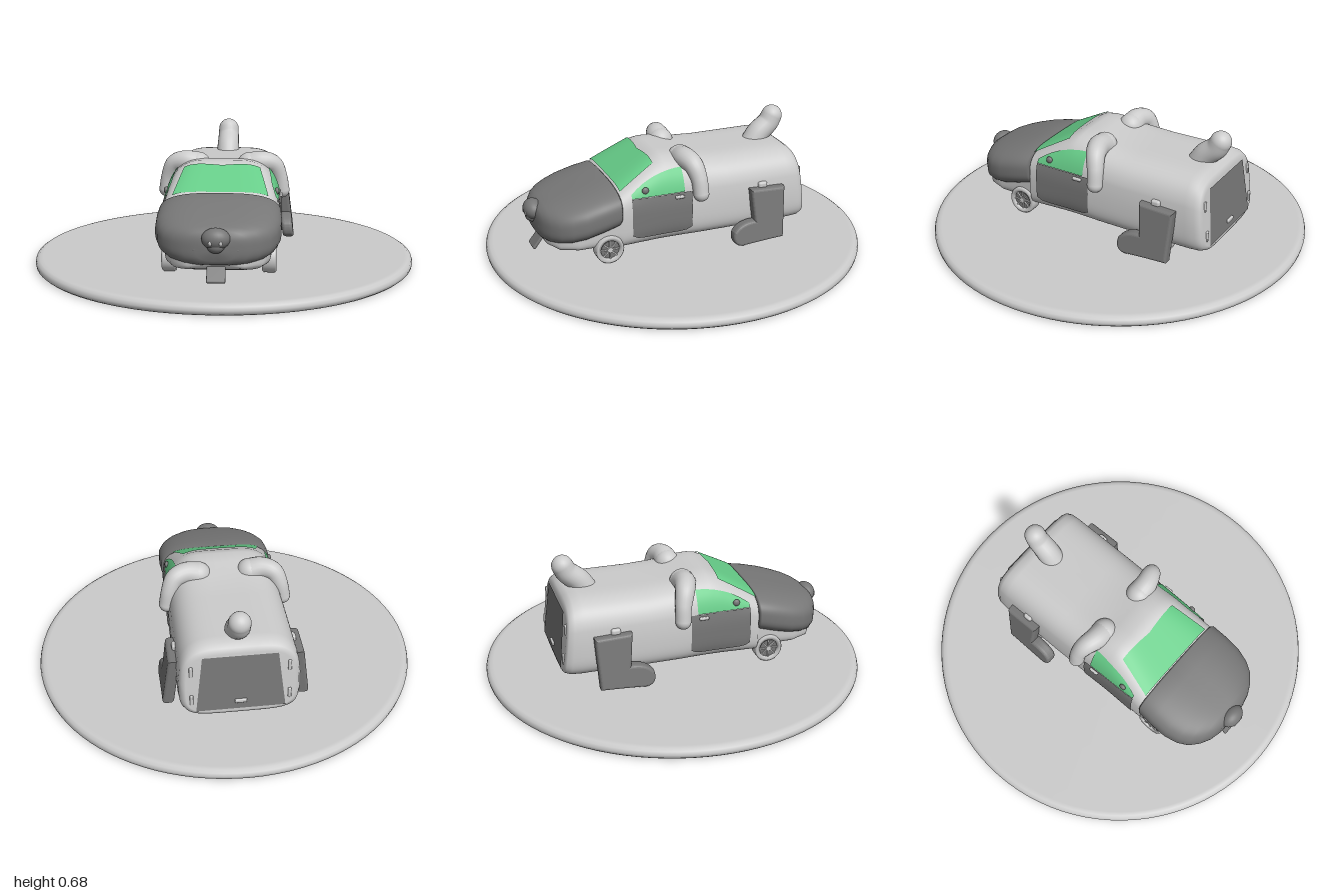
import * as THREE from 'three';
import { mergeVertices } from 'three/addons/utils/BufferGeometryUtils.js';
import { RoundedBoxGeometry } from 'three/addons/geometries/RoundedBoxGeometry.js';

const mat = (color) => new THREE.MeshStandardMaterial({ color, side: THREE.DoubleSide });
const light = mat(0xcccccc), dark = mat(0x777777), glass = mat(0x66cc88);

// Sections along z: [z, half width, bottom y, top y]
const BODY = [
  [-0.656, 0.001, 0.30, 0.302], [-0.655, 0.27, 0.14, 0.465], [-0.645, 0.29, 0.123, 0.492], [-0.615, 0.302, 0.113, 0.511],
  [-0.56, 0.305, 0.11, 0.517], [-0.2, 0.305, 0.11, 0.518], [-0.03, 0.303, 0.11, 0.53], [0.05, 0.3, 0.11, 0.555],
  [0.13, 0.298, 0.11, 0.56], [0.18, 0.297, 0.11, 0.549], [0.38, 0.295, 0.11, 0.437], [0.395, 0.272, 0.115, 0.41],
  [0.6, 0.255, 0.12, 0.3], [0.69, 0.22, 0.13, 0.26], [0.735, 0.14, 0.145, 0.22], [0.75, 0.001, 0.18, 0.182],
];
const HOOD = [
  [0.384, 0.001, 0.32, 0.322], [0.385, 0.295, 0.225, 0.43], [0.395, 0.305, 0.215, 0.44], [0.48, 0.308, 0.19, 0.425],
  [0.57, 0.305, 0.168, 0.402], [0.64, 0.285, 0.157, 0.381], [0.69, 0.255, 0.155, 0.365], [0.73, 0.208, 0.16, 0.35],
  [0.757, 0.155, 0.172, 0.333], [0.772, 0.095, 0.193, 0.31], [0.777, 0.001, 0.25, 0.252],
];

function section(list, z) {
  let i = 1;
  while (i < list.length - 1 && list[i][0] < z) i++;
  const a = list[i - 1], b = list[i];
  const t = THREE.MathUtils.clamp((z - a[0]) / (b[0] - a[0]), 0, 1);
  return a.map((v, k) => v + (b[k] - v) * t);
}
const taper = (y) => 1 - 4 * Math.max(0, y - 0.3) ** 2;
// the tail end leans forward towards the roof
const lean = (z, y) => z + 0.11 * (y - 0.12) * THREE.MathUtils.clamp((-0.4 - z) / 0.25, 0, 1);
const power = (v, p) => Math.sign(v) * Math.abs(v) ** p;

function ringPoint([z, w, lo, hi], n, angle, taperOn) {
  const y = (lo + hi) / 2 + (hi - lo) / 2 * power(Math.sin(angle), 2 / n);
  const x = w * power(Math.cos(angle), 2 / n) * (taperOn ? taper(y) : 1);
  return [x, y, taperOn ? lean(z, y) : z];
}
// half width of the body side at (z, y)
function sideX(z, y) {
  const [, w, lo, hi] = section(BODY, z);
  const s = Math.min(1, Math.abs((2 * y - lo - hi) / (hi - lo)));
  return w * (1 - s ** 5) ** 0.2 * taper(y);
}
// height of the body top at (x, z)
function topY(x, z) {
  let a = 0, b = Math.PI / 2;
  const s = section(BODY, z);
  for (let i = 0; i < 30; i++) {
    const m = (a + b) / 2;
    if (ringPoint(s, 5, m, true)[0] > Math.abs(x)) a = m; else b = m;
  }
  return ringPoint(s, 5, a, true)[1];
}

// surface from a rule fn(u, v) with u, v in 0..1
function grid(nu, nv, fn) {
  const pos = [], index = [];
  for (let i = 0; i <= nu; i++) for (let j = 0; j <= nv; j++) pos.push(...fn(i / nu, j / nv));
  for (let i = 0; i < nu; i++) for (let j = 0; j < nv; j++) {
    const a = i * (nv + 1) + j, d = a + nv + 1;
    index.push(a, a + 1, d + 1, a, d + 1, d);
  }
  let g = new THREE.BufferGeometry();
  g.setAttribute('position', new THREE.Float32BufferAttribute(pos, 3));
  g.setIndex(index);
  g = mergeVertices(g, 1e-5);
  g.computeVertexNormals();
  return g;
}
const loft = (list, n, taperOn) => grid(list.length - 1, 96, (u, v) =>
  ringPoint(list[Math.round(u * (list.length - 1))], n, (v % 1) * Math.PI * 2, taperOn));

export function createModel() {
  const model = new THREE.Group();
  const add = (name, geo, m = light, p = [0, 0, 0], r = [0, 0, 0], parent = model) => {
    const mesh = new THREE.Mesh(geo, m);
    mesh.name = name;
    mesh.position.set(...p);
    mesh.rotation.set(...r);
    parent.add(mesh);
    return mesh;
  };
  const ball = (name, p, s, m, parent) => add(name, new THREE.SphereGeometry(1, 24, 16), m, p, [0, 0, 0], parent).scale.set(...s);
  const box = (name, size, p, m, r) => add(name, new RoundedBoxGeometry(...size, 2, Math.min(...size) * 0.35), m, p, r);
  // round limb of varying thickness with ball ends
  const limb = (name, pts, radii) => {
    const curve = new THREE.CatmullRomCurve3(pts.map((p) => new THREE.Vector3(...p)));
    const segs = 32, sides = 20, g = new THREE.TubeGeometry(curve, segs, 1, sides);
    const pos = g.attributes.position, v = new THREE.Vector3();
    for (let i = 0; i < pos.count; i++) {
      const t = Math.floor(i / (sides + 1)) / segs, c = curve.getPointAt(t);
      const f = t * (radii.length - 1), k = Math.min(Math.floor(f), radii.length - 2);
      const r = radii[k] + (radii[k + 1] - radii[k]) * (f - k);
      v.fromBufferAttribute(pos, i).sub(c).multiplyScalar(r).add(c);
      pos.setXYZ(i, v.x, v.y, v.z);
    }
    add(name, g);
    [0, radii.length - 1].forEach((k) => ball(name + 'End', pts[k], [radii[k], radii[k], radii[k]], light));
  };

  // round display base
  const rim = [[0, 0], [0.985, 0], [0.997, 0.01], [1, 0.025], [0.995, 0.042], [0.98, 0.052], [0.96, 0.055], [0, 0.055]];
  add('base', new THREE.LatheGeometry(rim.map((p) => new THREE.Vector2(...p)), 96));

  // van body and hood
  add('body', loft(BODY, 5, true));
  add('hood', loft(HOOD, 2.9, false), dark);

  // windshield with a scalloped lower edge
  add('windshield', grid(20, 24, (u, v) => {
    const s = 2 * v - 1, z = 0.185 + u * 0.195 + (1 - u) * 0.012 * (1 - Math.abs(s)) ** 2;
    const x = s * (0.195 + 0.045 * u);
    return [x, topY(x, z) + 0.006, z + 0.002];
  }), glass);

  // face: nose, nostrils, whisker buttons, tongue
  ball('nose', [0, 0.3, 0.768], [0.068, 0.052, 0.05], dark);
  ball('noseLower', [0, 0.268, 0.775], [0.042, 0.036, 0.034], dark);
  box('tongue', [0.09, 0.09, 0.016], [0, 0.127, 0.756], dark, [-0.65, 0, 0]);

  // tail
  limb('tail', [[0, 0.47, -0.46], [0, 0.535, -0.505], [0, 0.585, -0.562], [0, 0.622, -0.583]], [0.062, 0.062, 0.059, 0.056]);

  // wheel profile and leg outline
  const tyre = [[0.05, -0.03], [0.068, -0.035], [0.075, -0.026], [0.075, 0.026], [0.068, 0.035], [0.05, 0.03], [0.05, -0.03]];
  const leg = new THREE.Shape();
  leg.moveTo(-0.47, 0.09);
  leg.lineTo(-0.485, 0.335);
  leg.lineTo(-0.32, 0.342);
  leg.lineTo(-0.335, 0.175);
  leg.quadraticCurveTo(-0.25, 0.18, -0.215, 0.135);
  leg.quadraticCurveTo(-0.2, 0.08, -0.25, 0.078);
  leg.quadraticCurveTo(-0.34, 0.085, -0.47, 0.09);
  leg.closePath();

  for (const s of [1, -1]) {
    const side = s > 0 ? 'left' : 'right';
    const onSide = (z, y, out) => [s * (sideX(z, y) + out), y, z];

    // door, window, handle, mirror
    add(side + 'Door', grid(12, 12, (u, v) => {
      const edge = 0.02 * Math.abs(2 * u - 1) ** 8, y = 0.175 + edge + v * (0.215 - edge);
      return onSide(0.012 + 0.323 * u, y, 0.006);
    }), dark);
    add(side + 'Window', grid(20, 8, (u, v) => {
      const z = 0.05 + 0.283 * u, top = 0.507 - 0.095 * u ** 2.2;
      return onSide(z, 0.392 + v * (top - 0.392), 0.006);
    }), glass);
    box(side + 'DoorHandle', [0.02, 0.016, 0.05], onSide(0.08, 0.37, 0.008));
    ball(side + 'Mirror', onSide(0.26, 0.425, 0.008), [0.012, 0.018, 0.018], dark);

    // ear
    limb(side + 'Ear', [[0.135, 0.515, 0.012], [0.2, 0.53, 0.008], [0.258, 0.515, -0.01], [0.292, 0.45, -0.028], [0.308, 0.372, -0.034]]
      .map(([x, y, z]) => [s * x, y, z]), [0.066, 0.057, 0.049, 0.042, 0.041]);

    // hind leg leaning out at the foot, with its mounting peg
    const g = new THREE.ExtrudeGeometry(leg, { depth: 0.026, bevelThickness: 0.017, bevelSize: 0.014, bevelSegments: 4, curveSegments: 12 });
    g.rotateY(-Math.PI / 2);
    const pos = g.attributes.position;
    for (let i = 0; i < pos.count; i++) pos.setX(i, pos.getX(i) + 0.013 + s * (0.312 + 0.13 * (0.35 - pos.getY(i))));
    g.computeVertexNormals();
    add(side + 'Leg', g, dark);
    box(side + 'LegPeg', [0.045, 0.035, 0.05], [s * 0.293, 0.362, -0.385]);

    // wheels
    for (const z of [0.45, -0.385]) {
      const wheel = new THREE.Group();
      wheel.name = side + (z > 0 ? 'FrontWheel' : 'RearWheel');
      wheel.position.set(s * 0.248, 0.13, z);
      wheel.rotation.z = -s * Math.PI / 2;
      model.add(wheel);
      add('tyre', new THREE.LatheGeometry(tyre.map((p) => new THREE.Vector2(...p)), 40), light, [0, 0, 0], [0, 0, 0], wheel);
      add('rimDisc', new THREE.CylinderGeometry(0.052, 0.052, 0.04, 32), dark, [0, 0, 0], [0, 0, 0], wheel);
      add('hub', new THREE.CylinderGeometry(0.014, 0.014, 0.064, 16), light, [0, 0, 0], [0, 0, 0], wheel);
      for (let k = 0; k < 8; k++) {
        const a = k * Math.PI / 4;
        add('spoke', new THREE.BoxGeometry(0.044, 0.056, 0.007), light, [0.03 * Math.cos(a), 0, -0.03 * Math.sin(a)], [0, a, 0], wheel);
      }
    }

    // nostril, whisker buttons, tail light
    ball(side + 'Nostril', [s * 0.024, 0.288, 0.81], [0.009, 0.011, 0.006], light);
    ball(side + 'WhiskerButton', [s * 0.1, 0.245, 0.757], [0.015, 0.015, 0.014], dark);
    for (const y of [0.22, 0.38]) box(side + 'TailLight', [0.018, 0.055, 0.014], [s * 0.243, y, lean(-0.656, y)]);
  }

  // tailgate, its handle and the rear step
  add('tailgate', grid(8, 8, (u, v) => {
    const y = 0.155 + 0.3 * v;
    return [(2 * u - 1) * (0.222 - 0.035 * v), y, lean(-0.66, y)];
  }), dark);
  box('tailgateHandle', [0.06, 0.02, 0.016], [0, 0.2, lean(-0.662, 0.2)]);
  return model;
}
